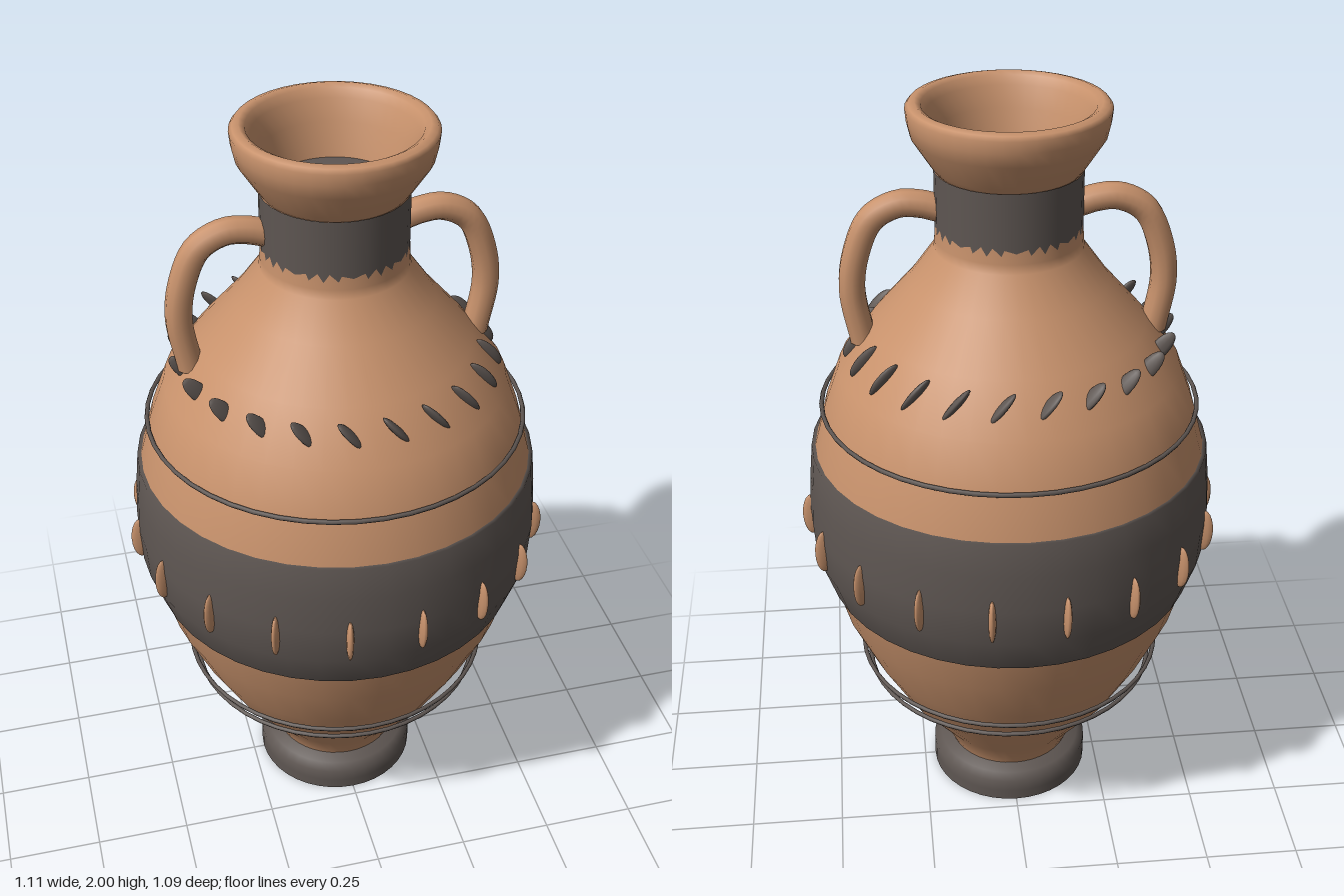
import * as THREE from 'three';

const SEGMENTS = 40;

export function createModel() {
  const clay = new THREE.MeshStandardMaterial({ color: 0xc8926c });
  clay.name = 'terracotta';
  const dark = new THREE.MeshStandardMaterial({ color: 0x5e5652 });
  dark.name = 'dark slip';

  const vase = new THREE.Group();
  vase.name = 'amphora';

  const add = (name, geometry, material, parent = vase) => {
    const mesh = new THREE.Mesh(geometry, material);
    mesh.name = name;
    parent.add(mesh);
    return mesh;
  };
  const lathe = (name, points, material, segments = SEGMENTS) =>
    add(name, new THREE.LatheGeometry(points.map(([r, y]) => new THREE.Vector2(r, y)), segments), material);
  const disc = (name, radius, y, facing, material) => {
    const mesh = add(name, new THREE.CircleGeometry(radius, SEGMENTS), material);
    mesh.rotation.x = -facing * Math.PI / 2;
    mesh.position.y = y;
  };

  // Foot
  lathe('foot', [[0.22, 0], [0.22, 0.03], [0.22, 0.065], [0.2, 0.082], [0.165, 0.095]], dark);
  disc('footBase', 0.22, 0, -1, dark);

  // Body from foot to neck
  lathe('body', [
    [0.165, 0.08], [0.172, 0.1], [0.2, 0.16], [0.315, 0.31], [0.395, 0.455], [0.46, 0.6],
    [0.487, 0.7], [0.52, 0.8], [0.527, 0.9], [0.52, 1.0], [0.508, 1.09], [0.475, 1.21],
    [0.435, 1.32], [0.345, 1.435], [0.25, 1.545], [0.186, 1.635], [0.1835, 1.66],
    [0.179, 1.73], [0.178, 1.84],
  ], clay);

  // Broad painted belly band and neck band
  lathe('bellyBand', [
    [0.482, 0.7], [0.493, 0.7], [0.527, 0.8], [0.533, 0.9], [0.527, 1.0], [0.518, 1.09], [0.505, 1.09],
  ], dark);
  lathe('neckBand', [[0.1818, 1.65], [0.1818, 1.836]], dark, 32);

  // Flared mouth with a rounded rim
  lathe('mouth', [
    [0.176, 1.832], [0.19, 1.85], [0.235, 1.92], [0.243, 1.955], [0.246, 1.985], [0.238, 1.995],
    [0.222, 2.0], [0.208, 1.992], [0.198, 1.97], [0.176, 1.92], [0.155, 1.83],
  ], clay);
  disc('mouthFloor', 0.17, 1.835, 1, dark);

  // Thin line rings
  for (const [radius, y] of [[0.485, 1.21], [0.41, 0.44], [0.393, 0.396]]) {
    const ring = add('lineRing', new THREE.TorusGeometry(radius, 0.006, 6, 48), dark);
    ring.rotation.x = Math.PI / 2;
    ring.position.y = y;
  }

  // Raised almond studs around the belly
  const ball = new THREE.SphereGeometry(1, 12, 10);
  const studs = new THREE.Group();
  studs.name = 'bellyStuds';
  vase.add(studs);
  for (let i = 0; i < 18; i++) {
    const a = (i / 18) * Math.PI * 2;
    const stud = add('bellyStud', ball, clay, studs);
    stud.position.set(Math.cos(a) * 0.53, 0.873, Math.sin(a) * 0.53);
    stud.rotation.y = -a;
    stud.scale.set(0.025, 0.062, 0.01);
  }

  // Slanted leaves around the shoulder, all leaning the same way
  const leaves = new THREE.Group();
  leaves.name = 'shoulderLeaves';
  vase.add(leaves);
  for (let i = 0; i < 22; i++) {
    const a = (i / 22) * Math.PI * 2;
    const leaf = add('shoulderLeaf', ball, dark, leaves);
    leaf.position.set(Math.cos(a) * 0.385, 1.383, Math.sin(a) * 0.385);
    leaf.rotation.set(0, -a, 0.7, 'ZYX');
    leaf.scale.set(0.022, 0.052, 0.01);
  }

  // Pair of looped handles with closed ends
  for (const side of [1, -1]) {
    const path = new THREE.CatmullRomCurve3(
      [[0.17, 1.735], [0.215, 1.748], [0.27, 1.75], [0.335, 1.715], [0.375, 1.63], [0.39, 1.53], [0.368, 1.39]]
        .map(([x, y]) => new THREE.Vector3(x * side, y, 0)));
    const handle = new THREE.Group();
    handle.name = side > 0 ? 'leftHandle' : 'rightHandle';
    vase.add(handle);
    add('handleLoop', new THREE.TubeGeometry(path, 28, 0.034, 10), clay, handle);
    for (const t of [0, 1]) {
      const cap = add('handleEnd', new THREE.CircleGeometry(0.034, 10), clay, handle);
      const end = path.getPointAt(t);
      cap.position.copy(end);
      cap.lookAt(end.clone().addScaledVector(path.getTangentAt(t), t ? 1 : -1));
    }
  }

  return vase;
}
